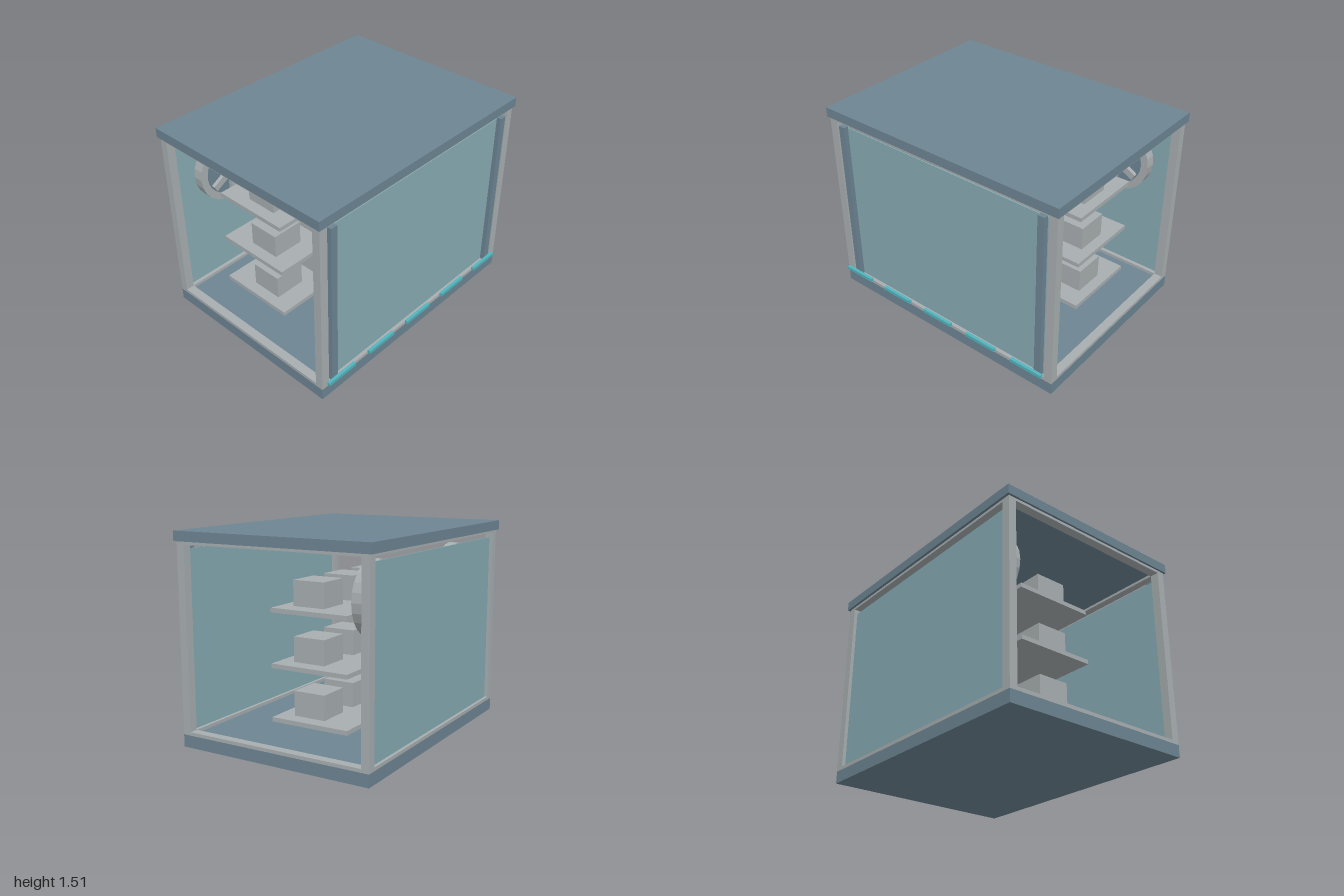
import * as THREE from 'three';

export function createModel() {
  const model = new THREE.Group();
  model.name = 'displayCabinet';
  const mat = (name, color, extra = {}) => {
    const m = new THREE.MeshStandardMaterial({ color, ...extra });
    m.name = name;
    return m;
  };
  const slate = mat('slateBlue', 0x6d8593);
  const grey = mat('lightGrey', 0xa8aeb0, { flatShading: true });
  const glass = mat('paleGlass', 0x87abb3);
  const teal = mat('brightTeal', 0x52b4bd);

  // Box given by its minimum and maximum on each axis
  const box = (name, material, [x0, x1], [y0, y1], [z0, z1], parent = model) => {
    const mesh = new THREE.Mesh(new THREE.BoxGeometry(x1 - x0, y1 - y0, z1 - z0), material);
    mesh.position.set((x0 + x1) / 2, (y0 + y1) / 2, (z0 + z1) / 2);
    mesh.name = name;
    parent.add(mesh);
    return mesh;
  };

  // Base and roof
  box('base', slate, [-0.985, 0.985], [0, 0.09], [-0.757, 0.735]);
  box('roof', slate, [-1, 1], [1.445, 1.515], [-0.775, 0.75]);

  // Frame: corner posts with rails between them
  const fronts = [[0.675, 0.735], [-0.757, -0.698]];
  const sides = [[-0.985, -0.92], [0.92, 0.985]];
  const heights = [[0.09, 0.115], [1.425, 1.445]];
  for (const z of fronts) {
    for (const x of sides) box('cornerPost', grey, x, [0.09, 1.445], z);
    for (const y of heights) box('longRail', grey, [-0.92, 0.92], y, z);
  }
  for (const x of sides)
    for (const y of heights) box('sideRail', grey, x, y, [-0.698, 0.675]);

  // Glass panes front and back, and upright door strips
  box('frontPane', glass, [-0.912, 0.912], [0.115, 1.39], [0.7, 0.708]);
  box('backPane', glass, [-0.912, 0.912], [0.115, 1.39], [-0.735, -0.727]);
  for (const x of [-0.868, 0.868])
    box('doorStrip', slate, [x - 0.026, x + 0.026], [0.115, 1.402], [0.708, 0.743]);

  // Row of light bars along the front
  for (let i = 0; i < 5; i++) {
    const x = -0.825 + i * 0.404;
    box('lightBar', teal, [x - 0.13, x + 0.13], [0.132, 0.158], [0.752, 0.775]);
  }

  // Three shelves carrying boxes
  for (const y of [0.22, 0.597, 0.98]) {
    box('shelf', grey, [-0.755, 0.755], [y, y + 0.032], [-0.46, 0.135]);
    for (let i = 0; i < 4; i++) {
      const x = -0.56 + i * 0.375;
      box('storedBox', grey, [x - 0.12, x + 0.12], [y + 0.045, y + 0.221], [-0.242, -0.002]);
    }
  }

  // Fans near the back pane, each a ring, disc, blades and shaft
  const disc = (name, material, radius, z0, z1, parent) => {
    const mesh = new THREE.Mesh(new THREE.CylinderGeometry(radius, radius, z1 - z0, 24), material);
    mesh.rotation.x = Math.PI / 2;
    mesh.position.z = (z0 + z1) / 2;
    mesh.name = name;
    parent.add(mesh);
  };
  const ringProfile = [[0.2, -0.038], [0.255, -0.038], [0.255, 0.038], [0.2, 0.038], [0.2, -0.038]]
    .map(([r, h]) => new THREE.Vector2(r, h));
  for (const x of [-0.59, 0.59]) {
    const fan = new THREE.Group();
    fan.name = 'fan';
    fan.position.set(x, 1.115, -0.582);
    const ring = new THREE.Mesh(new THREE.LatheGeometry(ringProfile, 24), grey);
    ring.rotation.x = Math.PI / 2;
    ring.name = 'fanRing';
    fan.add(ring);
    disc('fanDisc', slate, 0.2, -0.042, 0.046, fan);
    disc('fanHub', slate, 0.05, 0.046, 0.07, fan);
    disc('fanShaft', slate, 0.034, -0.064, -0.042, fan);
    for (let i = 0; i < 6; i++) {
      const pivot = new THREE.Group();
      pivot.name = 'fanBlade';
      pivot.rotation.z = (i * Math.PI) / 3 + Math.PI / 6;
      box('blade', grey, [0.03, 0.192], [-0.025, 0.025], [0.047, 0.075], pivot);
      fan.add(pivot);
    }
    model.add(fan);
  }
  return model;
}
